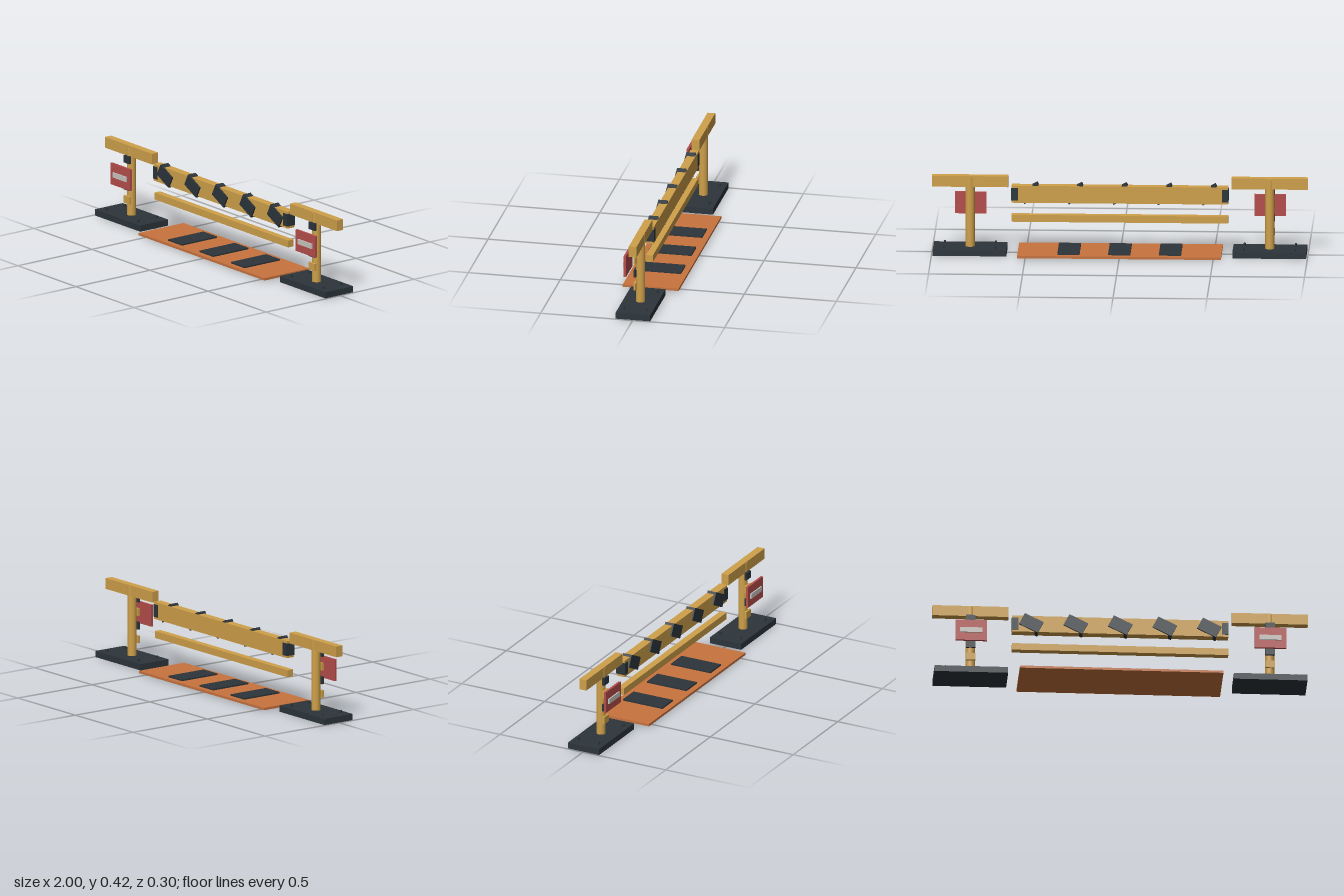
import * as THREE from 'three';

const mat = (name, color) => {
  const m = new THREE.MeshStandardMaterial({ color });
  m.name = name;
  return m;
};

export function createModel() {
  const wood = mat('ochre wood', 0xcfa04a);
  const dark = mat('dark slate', 0x2c353b);
  const orange = mat('orange mat', 0xc8733e);
  const red = mat('sign red', 0xb54d4b);
  const pale = mat('pale grey', 0xc9c6c0);

  const model = new THREE.Group();
  model.name = 'barrier';

  // Box given by its x centre and width, and its y and z ranges
  function box(parent, name, material, x, width, [y0, y1], [z0, z1]) {
    const mesh = new THREE.Mesh(new THREE.BoxGeometry(width, y1 - y0, z1 - z0), material);
    mesh.position.set(x, (y0 + y1) / 2, (z0 + z1) / 2);
    mesh.name = name;
    parent.add(mesh);
    return mesh;
  }

  // Upright cylinder
  function pole(parent, name, material, x, z, radius, [y0, y1], sides) {
    const mesh = new THREE.Mesh(new THREE.CylinderGeometry(radius, radius, y1 - y0, sides), material);
    mesh.position.set(x, (y0 + y1) / 2, z);
    mesh.name = name;
    parent.add(mesh);
  }

  // Two matching stands
  for (const side of [-1, 1]) {
    const stand = new THREE.Group();
    stand.name = side < 0 ? 'rightStand' : 'leftStand';
    stand.position.x = side * 0.797;
    model.add(stand);

    box(stand, 'base', dark, 0, 0.392, [0, 0.034], [-0.094, 0.094]);
    for (const x of [-0.136, 0.136])
      for (const z of [-0.061, 0.061])
        pole(stand, 'bolt', dark, x, z, 0.006, [0.03, 0.048], 10);

    pole(stand, 'post', wood, 0, 0, 0.0245, [0.034, 0.415], 20);
    box(stand, 'topBeam', wood, 0, 0.406, [0.361, 0.42], [-0.021, 0.021]);

    // Alternating blocks up the front of the post
    [0.1, 0.174, 0.249, 0.323].forEach((y, i) =>
      box(stand, 'postBlock', i % 2 ? dark : wood, 0, 0.05, [y, y + 0.04], [0.021, 0.034]));

    box(stand, 'signBoard', red, 0, 0.168, [0.196, 0.314], [0.062, 0.075]);
    box(stand, 'signPlate', pale, 0, 0.118, [0.24, 0.268], [0.075, 0.082]);
  }

  // Horizontal rails between the stands
  box(model, 'upperRail', wood, 0, 1.152, [0.277, 0.37], [-0.023, 0.023]);
  box(model, 'lowerRail', wood, 0, 1.152, [0.172, 0.21], [-0.019, 0.019]);
  for (const x of [-0.56, 0.56])
    box(model, 'railEndCap', dark, x, 0.035, [0.289, 0.357], [-0.026, 0.026]);

  // Slanted warning stripes set through the upper rail
  for (let i = -2; i <= 2; i++) {
    const stripe = box(model, 'slantedStripe', dark, i * 0.237, 0.112, [0.291, 0.361], [-0.021, 0.031]);
    stripe.rotation.z = -0.47;
  }

  // Floor mat with dark panels
  box(model, 'floorMat', orange, 0, 1.084, [0.005, 0.018], [-0.152, 0.152]);
  for (const x of [-0.27, 0, 0.27])
    box(model, 'matPanel', dark, x, 0.118, [0.018, 0.026], [-0.119, 0.119]);

  return model;
}
